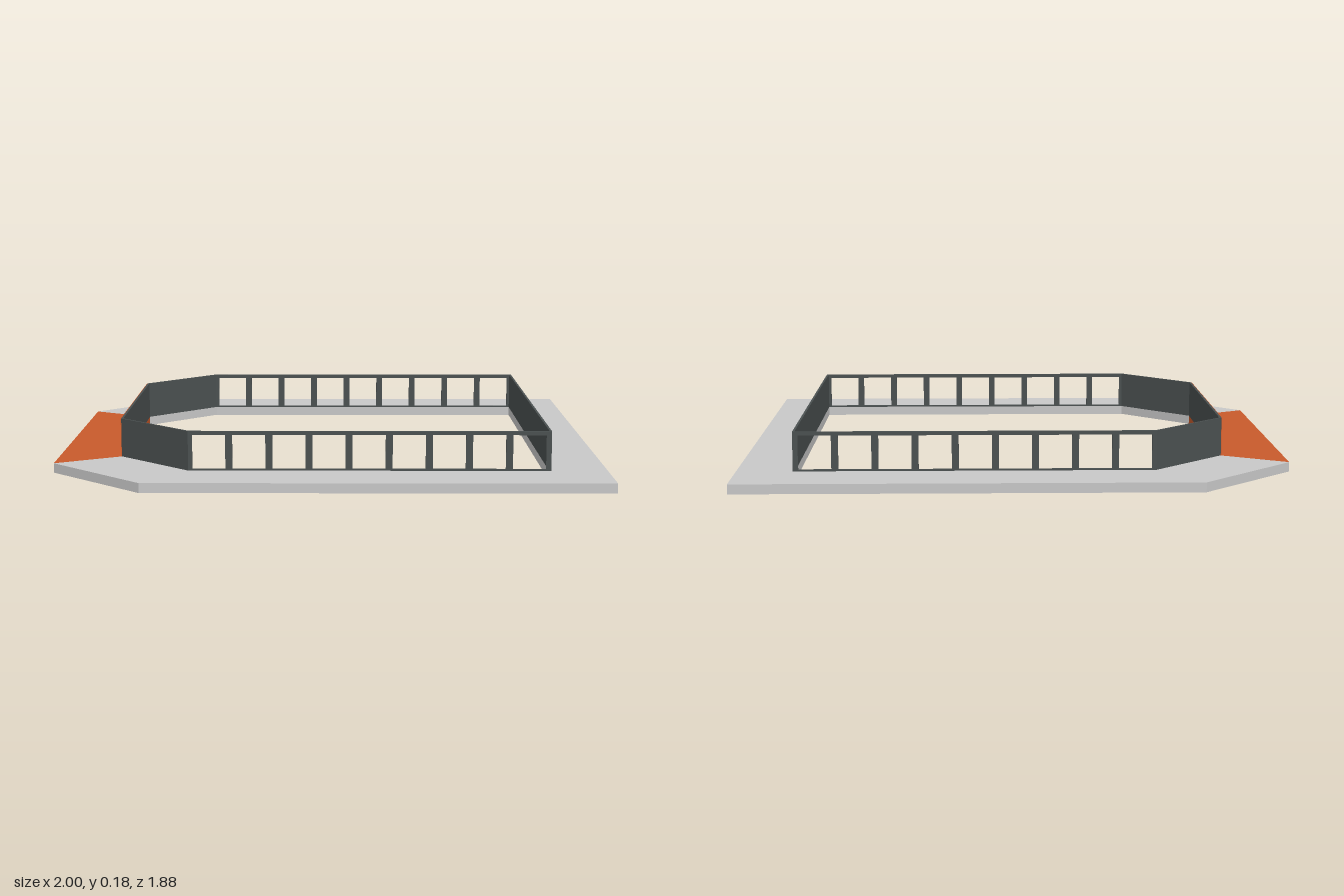
import * as THREE from 'three';

const BASE_H = 0.035; // slab thickness
const TOP = 0.178; // top of the walls
const T = 0.008; // wall thickness
const K = T * Math.tan(Math.PI / 8); // mitre offset at the 45 degree corners

// Upright prism from a plan outline of [x, z] points
function prism(name, points, y0, y1, material) {
  const shape = new THREE.Shape(points.map(([x, z]) => new THREE.Vector2(x, -z)));
  const geometry = new THREE.ExtrudeGeometry(shape, { depth: y1 - y0, bevelEnabled: false });
  geometry.rotateX(-Math.PI / 2).translate(0, y0, 0);
  const mesh = new THREE.Mesh(geometry, material);
  mesh.name = name;
  return mesh;
}

const mirrorZ = ([x, z]) => [x, -z];

export function createModel() {
  const group = new THREE.Group();
  group.name = 'walledPlatform';
  const grey = new THREE.MeshStandardMaterial({ color: 0xc8c8c8 });
  grey.name = 'lightGrey';
  const orange = new THREE.MeshStandardMaterial({ color: 0xc85a2b });
  orange.name = 'orange';
  const dark = new THREE.MeshStandardMaterial({ color: 0x4b5151 });
  dark.name = 'darkGrey';

  // Half outlines (z > 0), running from the +x end to the -x end
  const outer = [[1, 0.94], [-0.65, 0.94], [-1, 0.585]];
  const wallOut = [[0.798, 0.719], [-0.498, 0.719], [-0.768, 0.449]];
  const wallIn = [[0.798 - T, 0.719 - T], [-0.498 + K, 0.719 - T], [-0.768 + T, 0.449 - K]];

  // C-shaped grey slab, closed by the orange slab at the -x end
  const outside = [...outer].reverse().concat(outer.map(mirrorZ));
  const inside = [...wallIn].reverse().map(mirrorZ).concat(wallIn);
  group.add(prism('baseSlab', [...outside, ...inside], 0, BASE_H, grey));
  group.add(prism('orangeSlab', [outer[2], mirrorZ(outer[2]), mirrorZ(wallIn[2]), wallIn[2]], 0, BASE_H, orange));

  // Solid end walls
  group.add(prism('plainEndWall', [wallOut[0], mirrorZ(wallOut[0]), mirrorZ(wallIn[0]), wallIn[0]], BASE_H, TOP, dark));
  group.add(prism('orangeEndWall', [wallOut[2], mirrorZ(wallOut[2]), mirrorZ(wallIn[2]), wallIn[2]], BASE_H, TOP, dark));

  // Orange facing on the outside of the -x wall
  const facing = new THREE.Mesh(new THREE.BoxGeometry(0.002, TOP - BASE_H, 0.898), orange);
  facing.name = 'orangeFacing';
  facing.position.set(-0.769, (TOP + BASE_H) / 2, 0);
  group.add(facing);

  // Window wall: one panel with nine square openings
  const panel = new THREE.Shape();
  const x0 = wallOut[1][0], x1 = wallOut[0][0];
  panel.moveTo(x0, BASE_H).lineTo(x1, BASE_H).lineTo(x1, TOP).lineTo(x0, TOP).closePath();
  for (let i = 0; i < 9; i++) {
    const a = -0.483 + i * 0.143, b = a + 0.118;
    const hole = new THREE.Path();
    hole.moveTo(a, 0.041).lineTo(a, 0.164).lineTo(b, 0.164).lineTo(b, 0.041).closePath();
    panel.holes.push(hole);
  }
  const panelGeometry = new THREE.ExtrudeGeometry(panel, { depth: T, bevelEnabled: false });

  // Window walls and angled corner walls on both sides
  for (const s of [1, -1]) {
    const side = s > 0 ? 'front' : 'back';
    const windowWall = new THREE.Mesh(panelGeometry, dark);
    windowWall.name = side + 'WindowWall';
    windowWall.position.z = s > 0 ? 0.719 - T : -0.719;
    group.add(windowWall);

    const corner = [wallOut[1], wallOut[2], wallIn[2], wallIn[1]].map(([x, z]) => [x, s * z]);
    group.add(prism(side + 'CornerWall', corner, BASE_H, TOP, dark));
  }
  return group;
}
